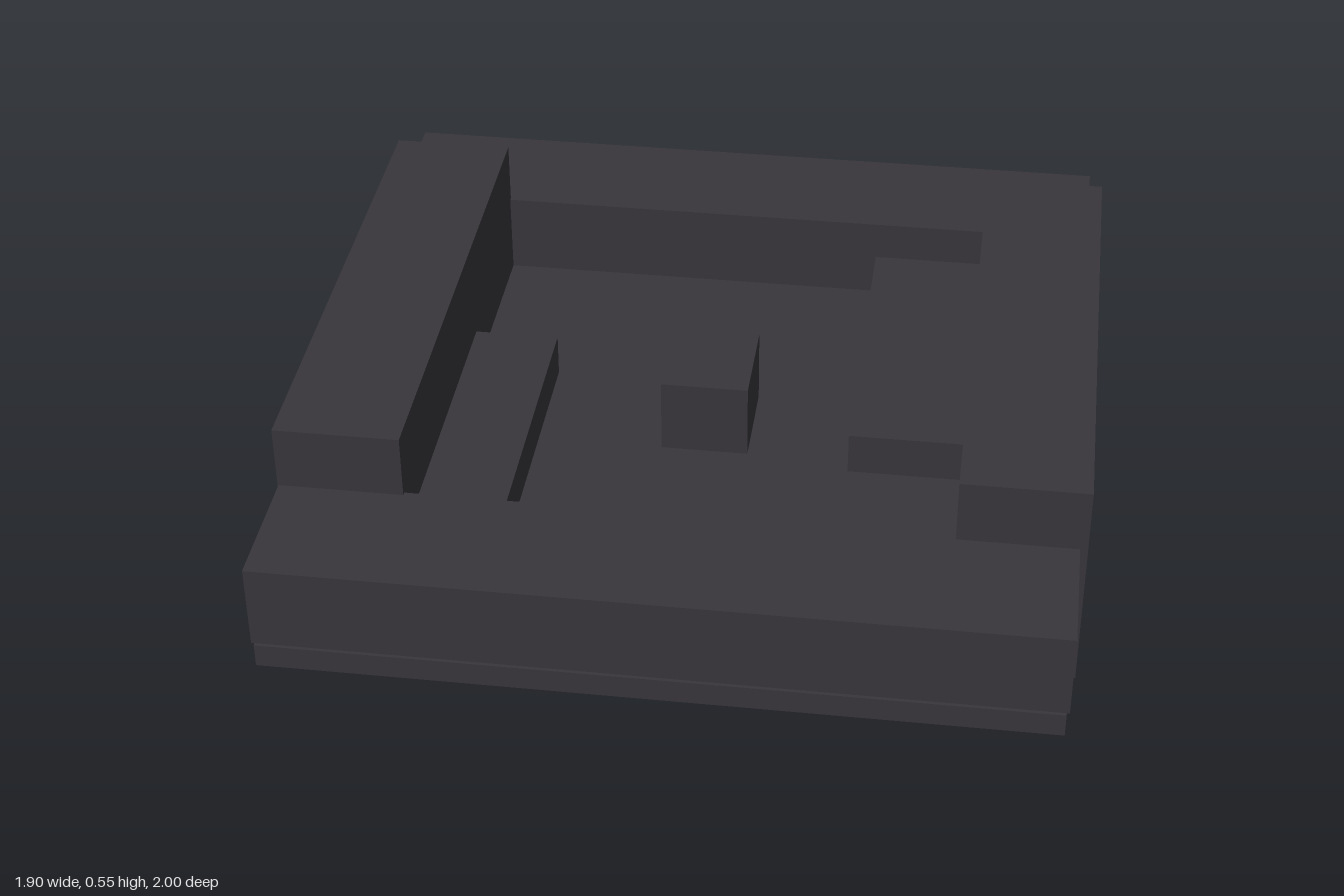
import * as THREE from 'three';

export function createModel() {
  const group = new THREE.Group();
  const charcoal = new THREE.MeshStandardMaterial({ color: 0x38363c });
  charcoal.name = 'charcoal';

  // Box given by its extents along x, y and z
  const block = (name, [x0, x1], [y0, y1], [z0, z1]) => {
    const mesh = new THREE.Mesh(new THREE.BoxGeometry(x1 - x0, y1 - y0, z1 - z0), charcoal);
    mesh.position.set((x0 + x1) / 2, (y0 + y1) / 2, (z0 + z1) / 2);
    mesh.name = name;
    group.add(mesh);
  };

  const floorTop = 0.175;

  // Base slab
  block('floor', [-0.937, 0.925], [0.115, floorTop], [-1, 1]);

  // Low walls at front and back
  block('frontWall', [-0.945, 0.932], [floorTop, 0.388], [0.66, 0.992]);
  block('backWall', [-0.953, 0.925], [floorTop, 0.388], [-0.992, -0.663]);

  // Tall side walls reaching the ground
  block('leftWall', [0.648, 0.95], [0, 0.548], [-0.672, 0.67]);
  block('rightWall', [-0.947, -0.645], [0, 0.548], [-0.672, 0.67]);

  // Low ledges inside, along the side walls
  block('leftLedge', [0.36, 0.648], [floorTop, 0.285], [-0.663, 0.163]);
  block('rightLedge', [-0.645, -0.43], [floorTop, 0.285], [-0.17, 0.66]);

  // Pedestal in the middle
  block('centrePedestal', [-0.115, 0.103], [floorTop, 0.37], [-0.127, 0.123]);

  return group;
}
